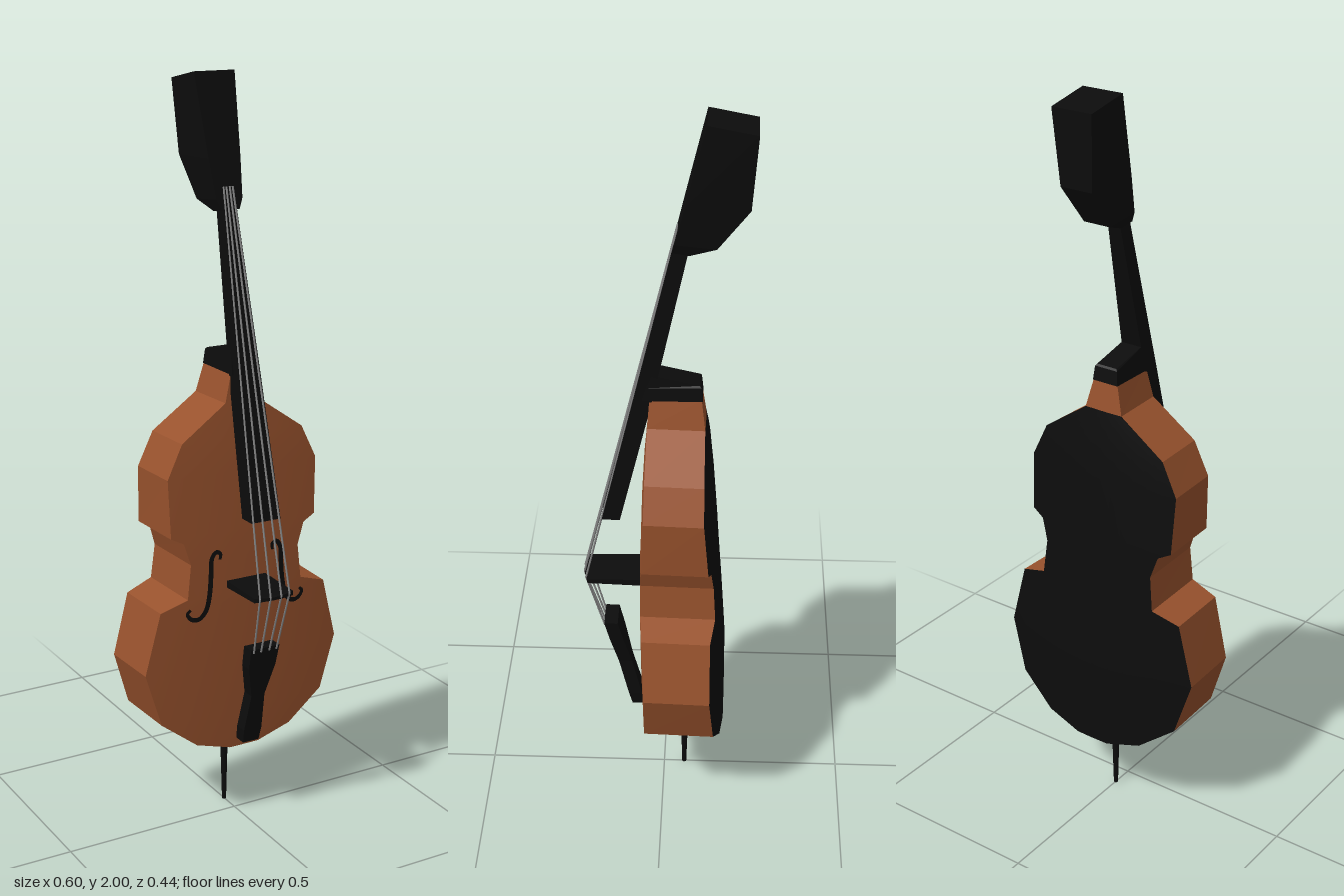
import * as THREE from 'three';

const wood = new THREE.MeshStandardMaterial({ color: 0x98522d });
wood.name = 'brownWood';
const ebony = new THREE.MeshStandardMaterial({ color: 0x0c0c0c });
ebony.name = 'blackEbony';
const steel = new THREE.MeshStandardMaterial({ color: 0x858585 });
steel.name = 'greySteel';

// Body rows: height, half width, front z and back z on the centre line
const ROWS = [
  [0.215, 0.05, 0.053, -0.168], [0.245, 0.15, 0.055, -0.168], [0.325, 0.253, 0.058, -0.168],
  [0.475, 0.298, 0.062, -0.167], [0.645, 0.255, 0.064, -0.156], [0.67, 0.178, 0.064, -0.154],
  [0.765, 0.168, 0.063, -0.147], [0.825, 0.187, 0.062, -0.143], [0.843, 0.222, 0.061, -0.142],
  [1.0, 0.227, 0.056, -0.13], [1.09, 0.184, 0.051, -0.121], [1.18, 0.056, 0.043, -0.107],
  [1.26, 0.036, 0.037, -0.096],
];
const COLS = 12;

function frontZ(x, y) {
  let i = 0;
  while (i < ROWS.length - 2 && ROWS[i + 1][0] < y) i++;
  const a = ROWS[i], b = ROWS[i + 1];
  return THREE.MathUtils.lerp(a[2], b[2], (y - a[0]) / (b[0] - a[0])) - 0.2 * x * x;
}

const bodyPoint = (row, t, front) => {
  const [y, w, zf, zb] = row;
  const x = t * (front ? w - 0.006 : w);
  return [x, y, front ? zf - 0.2 * x * x : zb + 0.42 * x * x];
};

function geometryFrom(positions, indices, flat) {
  let g = new THREE.BufferGeometry();
  g.setAttribute('position', new THREE.Float32BufferAttribute(positions.flat(), 3));
  g.setIndex(indices);
  if (flat) g = g.toNonIndexed();
  g.computeVertexNormals();
  return g;
}

// Arched plate spanning the given rows
function plate(rows, front) {
  const pos = [], idx = [], n = COLS + 1;
  rows.forEach((r) => {
    for (let c = 0; c < n; c++) pos.push(bodyPoint(r, (2 * c) / COLS - 1, front));
  });
  for (let r = 0; r < rows.length - 1; r++) {
    for (let c = 0; c < COLS; c++) {
      const a = r * n + c, b = a + 1, d = a + n, e = d + 1;
      if (front) idx.push(a, b, e, a, e, d);
      else idx.push(a, e, b, a, d, e);
    }
  }
  return geometryFrom(pos, idx, false);
}

// Side walls following the outline counterclockwise
function ribs() {
  const loop = [];
  ROWS.forEach((r) => loop.push([r, 1]));
  [...ROWS].reverse().forEach((r) => loop.push([r, -1]));
  const pos = [], idx = [], n = loop.length;
  loop.forEach(([r, t]) => pos.push(bodyPoint(r, t, true), bodyPoint(r, t, false)));
  for (let i = 0; i < n; i++) {
    const f = 2 * i, b = f + 1, f2 = 2 * ((i + 1) % n), b2 = f2 + 1;
    idx.push(f, b, b2, f, b2, f2);
  }
  return geometryFrom(pos, idx, true);
}

// Solid through four-cornered sections: [half width, front y, front z, back y, back z]
function loft(sections) {
  const pos = [], idx = [];
  sections.forEach(([w, yf, zf, yb, zb]) =>
    pos.push([-w, yf, zf], [w, yf, zf], [w, yb, zb], [-w, yb, zb]));
  for (let k = 0; k < sections.length - 1; k++) {
    for (let i = 0; i < 4; i++) {
      const a = 4 * k + i, b = 4 * k + ((i + 1) % 4);
      idx.push(a, b, b + 4, a, b + 4, a + 4);
    }
  }
  const m = 4 * (sections.length - 1);
  idx.push(0, 2, 1, 0, 3, 2, m, m + 1, m + 2, m, m + 2, m + 3);
  return geometryFrom(pos, idx, true);
}

function rod(a, b, radius) {
  const dir = b.clone().sub(a);
  const g = new THREE.CylinderGeometry(radius, radius, dir.length(), 5);
  g.applyQuaternion(new THREE.Quaternion().setFromUnitVectors(
    new THREE.Vector3(0, 1, 0), dir.normalize()));
  const mid = a.clone().add(b).multiplyScalar(0.5);
  return g.translate(mid.x, mid.y, mid.z);
}

// S-shaped sound hole as a thin ribbon lying on the front
function soundHole(side) {
  const pts = [[0.08, 0.768], [0.078, 0.783], [0.09, 0.79], [0.103, 0.775], [0.106, 0.735],
    [0.111, 0.675], [0.122, 0.632], [0.142, 0.612], [0.163, 0.615], [0.175, 0.632], [0.166, 0.642]];
  const curve = new THREE.CatmullRomCurve3(pts.map(([x, y]) => new THREE.Vector3(x, y, 0)));
  const pos = [], idx = [], steps = 40;
  for (let i = 0; i <= steps; i++) {
    const p = curve.getPoint(i / steps), t = curve.getTangent(i / steps);
    const h = 0.004 + 0.003 * Math.sin((Math.PI * i) / steps);
    for (const s of [1, -1]) {
      const x = side * (p.x - s * t.y * h), y = p.y + s * t.x * h;
      pos.push([x, y, frontZ(x, y) + 0.003]);
    }
    if (i < steps) {
      const a = 2 * i;
      if (side > 0) idx.push(a, a + 1, a + 3, a, a + 3, a + 2);
      else idx.push(a, a + 3, a + 1, a, a + 2, a + 3);
    }
  }
  return geometryFrom(pos, idx, false);
}

export function createModel() {
  const model = new THREE.Group();
  model.name = 'doubleBass';
  const add = (name, geometry, material, parent = model) => {
    const mesh = new THREE.Mesh(geometry, material);
    mesh.name = name;
    parent.add(mesh);
    return mesh;
  };

  // Body
  const body = new THREE.Group();
  body.name = 'body';
  model.add(body);
  add('frontPlate', plate(ROWS, true), wood, body);
  add('ribs', ribs(), wood, body);
  add('backPlate', plate(ROWS.slice(0, -1), false), ebony, body);
  add('neckBlockBack', plate(ROWS.slice(-2), false), wood, body);
  add('leftSoundHole', soundHole(1), ebony, body);
  add('rightSoundHole', soundHole(-1), ebony, body);

  // Neck, heel and head
  add('fingerboardAndNeck', loft([
    [0.043, 0.89, 0.164, 0.89, 0.116],
    [0.033, 1.25, 0.079, 1.25, 0.03],
    [0.018, 1.68, -0.022, 1.67, -0.06],
  ]), ebony);
  add('heel', loft([
    [0.038, 1.255, 0.055, 1.255, -0.098],
    [0.034, 1.29, 0.045, 1.293, -0.094],
    [0.03, 1.325, 0.03, 1.298, -0.09],
  ]), ebony);
  add('head', loft([
    [0.026, 1.663, -0.018, 1.656, -0.06],
    [0.038, 1.69, -0.025, 1.68, -0.127],
    [0.046, 1.79, -0.049, 1.785, -0.206],
    [0.058, 2.0, -0.1, 1.977, -0.22],
  ]), ebony);

  // Tailpiece, bridge and endpin
  add('tailpiece', loft([
    [0.024, 0.24, 0.09, 0.24, 0.053],
    [0.027, 0.28, 0.1, 0.28, 0.063],
    [0.02, 0.39, 0.127, 0.39, 0.09],
    [0.04, 0.48, 0.149, 0.48, 0.112],
    [0.043, 0.54, 0.164, 0.54, 0.127],
  ]), ebony);
  add('bridge', loft([
    [0.058, 0.685, 0.055, 0.705, 0.055],
    [0.058, 0.69, 0.205, 0.702, 0.205],
    [0.015, 0.692, 0.216, 0.7, 0.216],
  ]), ebony);
  add('endpin', new THREE.CylinderGeometry(0.012, 0.006, 0.23, 8).translate(0, 0.115, -0.058), ebony);

  // Strings over the bridge
  const strings = new THREE.Group();
  strings.name = 'strings';
  model.add(strings);
  for (const k of [-1, -0.36, 0.36, 1]) {
    const crest = new THREE.Vector3(0.044 * k, 0.7, 0.217 - 0.007 * k * k);
    add('longString', rod(new THREE.Vector3(0.013 * k, 1.72, -0.031), crest, 0.0028), steel, strings);
    add('shortString', rod(crest, new THREE.Vector3(0.034 * k, 0.53, 0.163), 0.0028), steel, strings);
  }
  return model;
}
